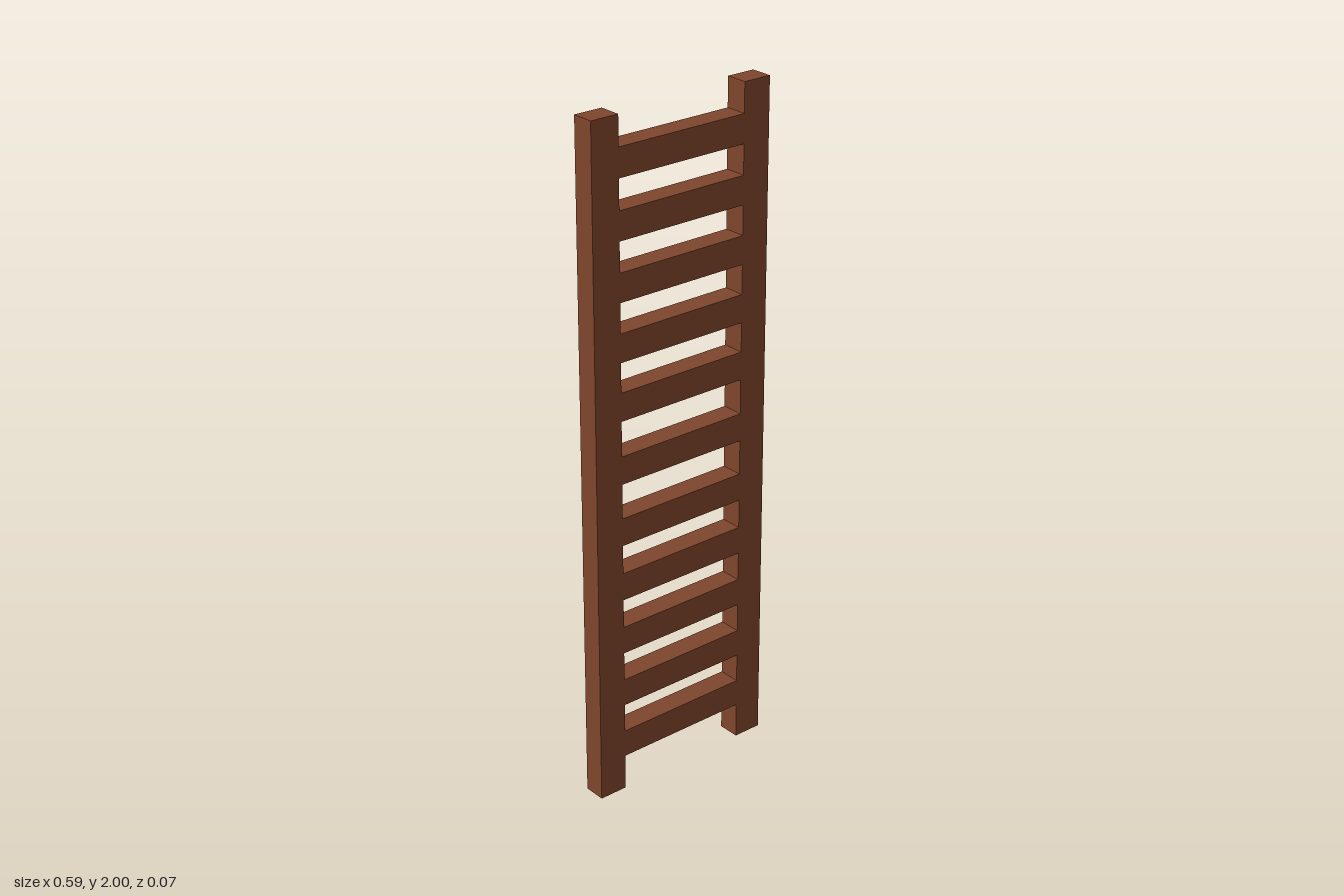
import * as THREE from 'three';

export function createModel() {
  const model = new THREE.Group();
  model.name = 'ladder';
  const wood = new THREE.MeshStandardMaterial({ color: 0x80462d });
  wood.name = 'brown wood';

  const depth = 0.066, outer = 0.296, inner = 0.209, rungHeight = 0.083;

  function addBox(name, width, height, x, y) {
    const mesh = new THREE.Mesh(new THREE.BoxGeometry(width, height, depth), wood);
    mesh.name = name;
    mesh.position.set(x, y, 0);
    model.add(mesh);
  }

  // Two upright rails
  for (const side of [-1, 1]) {
    addBox(side > 0 ? 'leftRail' : 'rightRail', outer - inner, 2, side * (outer + inner) / 2, 1);
  }

  // Eleven rungs: a middle one, with five evenly spaced above and below it
  const middle = 1.011, firstGap = 0.186, spacing = 0.169;
  for (let i = -5; i <= 5; i++) {
    const offset = i === 0 ? 0 : Math.sign(i) * (firstGap + (Math.abs(i) - 1) * spacing);
    addBox(`rung${i + 6}`, 2 * inner, rungHeight, 0, middle + offset);
  }

  return model;
}
